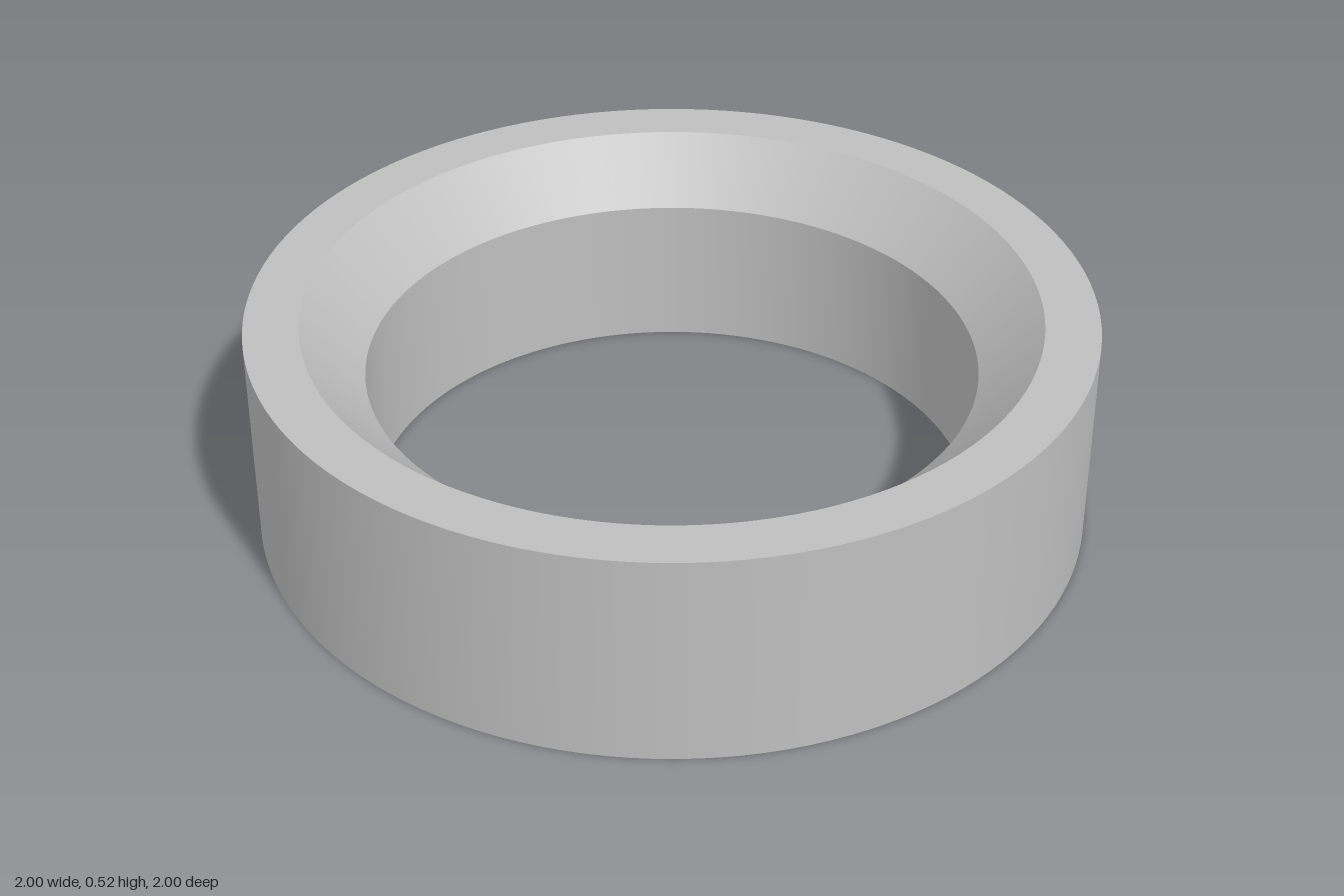
import * as THREE from 'three';

export function createModel() {
  const group = new THREE.Group();
  group.name = 'chamferedRing';
  const metal = new THREE.MeshStandardMaterial({ color: 0xbfbfbf });
  metal.name = 'plain grey metal';

  // Closed cross-section, counterclockwise: radius, height
  const profile = [
    [0.725, 0],
    [1, 0],
    [1, 0.525],
    [0.87, 0.525],
    [0.725, 0.38],
  ];
  const names = ['bottomFace', 'outerWall', 'topRim', 'conicalSeat', 'innerBore'];

  // One smooth band per side of the cross-section keeps the edges sharp
  names.forEach((name, i) => {
    const ends = [profile[i], profile[(i + 1) % profile.length]];
    const points = ends.map(([r, y]) => new THREE.Vector2(r, y));
    const band = new THREE.Mesh(new THREE.LatheGeometry(points, 128), metal);
    band.name = name;
    group.add(band);
  });
  return group;
}
